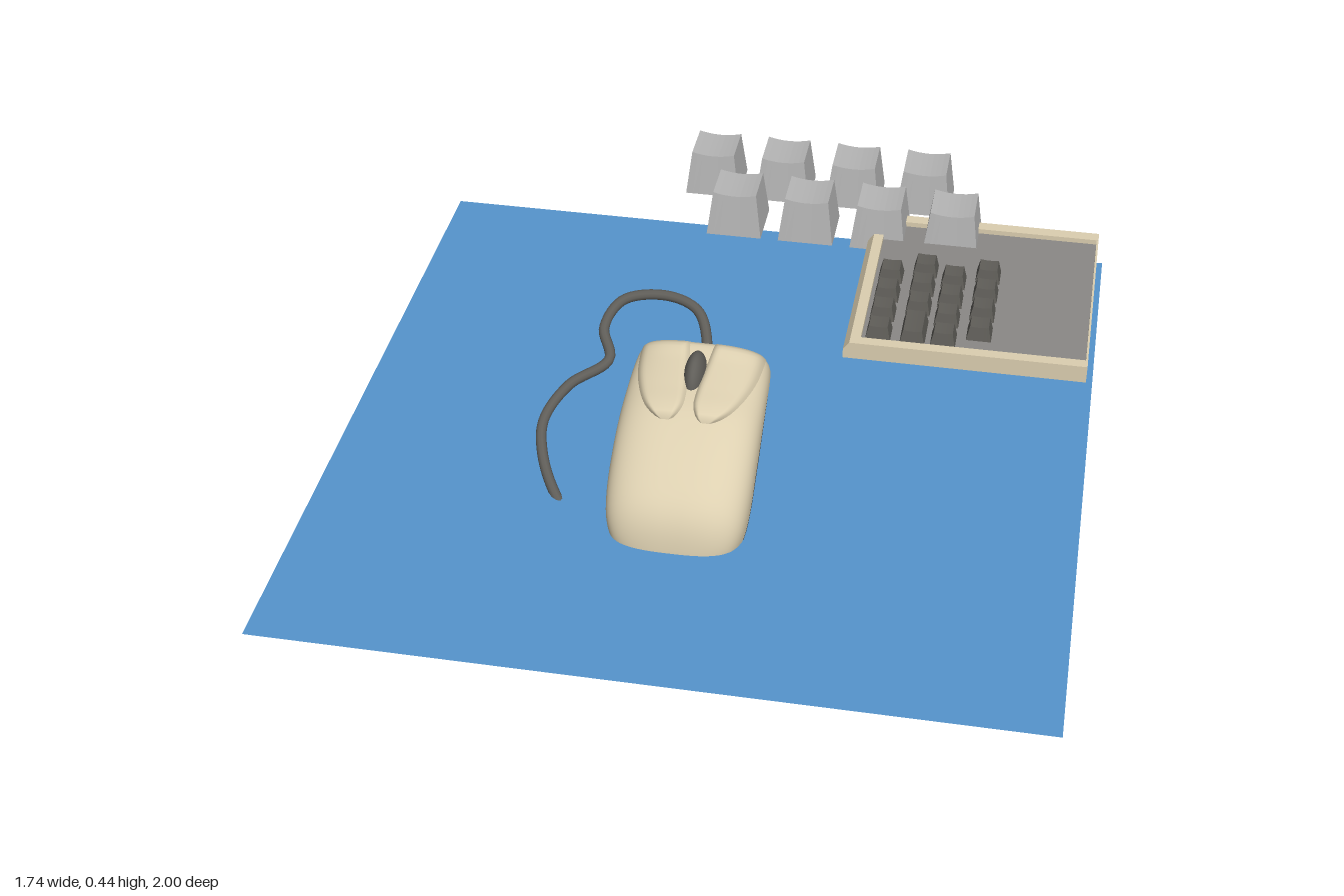
import * as THREE from 'three';

const mat = (name, color, side = THREE.FrontSide) => {
  const m = new THREE.MeshStandardMaterial({ color, side });
  m.name = name;
  return m;
};

// Smooth height lookup through [s, value] pairs
function ease(pts) {
  const slope = i => {
    const a = pts[Math.max(i - 1, 0)], b = pts[Math.min(i + 1, pts.length - 1)];
    return (b[1] - a[1]) / (b[0] - a[0]);
  };
  return s => {
    let i = 0;
    while (i < pts.length - 2 && s > pts[i + 1][0]) i++;
    const [s0, a] = pts[i], [s1, b] = pts[i + 1];
    const d = s1 - s0, t = Math.min(Math.max((s - s0) / d, 0), 1), t2 = t * t, t3 = t2 * t;
    return (2 * t3 - 3 * t2 + 1) * a + (t3 - 2 * t2 + t) * d * slope(i)
      + (3 * t2 - 2 * t3) * b + (t3 - t2) * d * slope(i + 1);
  };
}

// Surface from f(u, v) -> [x, y, z]
function grid(nu, nv, f) {
  const pos = [], idx = [];
  for (let j = 0; j <= nv; j++) for (let i = 0; i <= nu; i++) pos.push(...f(i / nu, j / nv));
  for (let j = 0; j < nv; j++) for (let i = 0; i < nu; i++) {
    const a = j * (nu + 1) + i, b = a + 1, c = a + nu + 1, d = c + 1;
    idx.push(a, b, d, a, d, c);
  }
  const g = new THREE.BufferGeometry();
  g.setAttribute('position', new THREE.Float32BufferAttribute(pos, 3));
  g.setIndex(idx);
  g.computeVertexNormals();
  return g;
}

// Tapered key with a dished top, standing on y = 0
function keyGeometry(w, h, d, topW, topD, dish) {
  const g = new THREE.BoxGeometry(w, h, d, 8, 1, 1);
  const p = g.attributes.position;
  for (let i = 0; i < p.count; i++) {
    const x = p.getX(i), z = p.getZ(i);
    if (p.getY(i) > 0) {
      const k = 2 * x / w;
      p.setXYZ(i, x * topW / w, h - dish * (1 - k * k), z * topD / d);
    } else p.setY(i, 0);
  }
  const flat = g.toNonIndexed();
  flat.computeVertexNormals();
  return flat;
}

export function createModel() {
  const root = new THREE.Group();
  const blue = mat('mat blue', 0x5594cc, THREE.DoubleSide);
  const cream = mat('cream plastic', 0xdccfb0);
  const dark = mat('dark grey', 0x5f5d58);
  const panelGrey = mat('panel grey', 0x8a8886);
  const capGrey = mat('keycap grey', 0xb4b4b4);

  const add = (parent, name, geo, material, x = 0, y = 0, z = 0) => {
    const m = new THREE.Mesh(geo, material);
    m.name = name;
    m.position.set(x, y, z);
    parent.add(m);
    return m;
  };
  const group = (name, parent = root) => {
    const g = new THREE.Group();
    g.name = name;
    parent.add(g);
    return g;
  };

  // Flat sheet under everything
  add(root, 'deskMat', new THREE.PlaneGeometry(1.742, 1.75).rotateX(-Math.PI / 2), blue, 0, 0.15, 0.125);

  // Tilted mouse: local -z runs from palm end to button end, y is its own up
  const mouse = group('mouse');
  mouse.position.set(-0.025, 0.075, 0.57);
  mouse.rotation.x = 0.529;
  const L = 0.535;
  const halfW = ease([[0, 0.07], [0.015, 0.1], [0.05, 0.138], [0.11, 0.16], [0.25, 0.165],
    [0.42, 0.161], [0.5, 0.156], [0.525, 0.148], [L, 0.135]]);
  const height = ease([[0, 0.025], [0.02, 0.066], [0.064, 0.119], [0.111, 0.148], [0.174, 0.16],
    [0.257, 0.164], [0.338, 0.158], [0.4, 0.138], [0.476, 0.113], [0.525, 0.1], [L, 0.085]]);
  const band = s => Math.min(0.07 * Math.pow(Math.max(Math.sin(Math.PI * s / L), 0), 0.8), height(s) * 0.6);
  const E = 2.8;
  const top = (s, x) => {
    const k = Math.min(Math.abs(x) / halfW(s), 1);
    return band(s) + (height(s) - band(s)) * Math.pow(1 - Math.pow(k, E), 1 / E);
  };
  const along = v => L * (0.5 - 0.5 * Math.cos(Math.PI * v));
  const tuck = 0.9;

  add(mouse, 'mouseShell', grid(40, 40, (u, v) => {
    const s = along(v), a = Math.PI * (1 - u), c = Math.cos(a);
    const x = halfW(s) * Math.sign(c) * Math.pow(Math.abs(c), 2 / E);
    const y = band(s) + (height(s) - band(s)) * Math.pow(Math.abs(Math.sin(a)), 2 / E);
    return [x, y, -s];
  }), cream);
  for (const side of [-1, 1]) {
    add(mouse, side < 0 ? 'rightLowerBand' : 'leftLowerBand', grid(4, 40, (u, v) => {
      const s = along(v), t = side < 0 ? u : 1 - u;
      return [side * halfW(s) * (tuck + (1 - tuck) * Math.sin(t * Math.PI / 2)), band(s) * t, -s];
    }), dark);
  }
  add(mouse, 'mouseBase', grid(2, 40, (u, v) => {
    const s = along(v);
    return [halfW(s) * tuck * (1 - 2 * u), 0, -s];
  }), cream);
  // End walls of the shell
  for (const [name, s, dir] of [['palmEnd', 0, 1], ['buttonEnd', L, -1]]) {
    add(mouse, name, grid(24, 2, (u, v) => {
      const x = -dir * halfW(s) * Math.cos(Math.PI * u);
      return [x, top(s, x) * v, -s];
    }), cream);
  }

  // Two raised petal buttons
  const outer = ease([[0.305, 0.05], [0.32, 0.078], [0.35, 0.105], [0.4, 0.128], [0.453, 0.142], [0.537, 0.15]]);
  const inner = ease([[0.305, 0.04], [0.32, 0.022], [0.36, 0.009], [0.45, 0.016], [0.537, 0.028]]);
  for (const side of [-1, 1]) {
    add(mouse, side < 0 ? 'rightButton' : 'leftButton', grid(20, 24, (u, v) => {
      const s = 0.305 + 0.232 * v, t = side < 0 ? 1 - u : u;
      const x = Math.min(inner(s) + (outer(s) - inner(s)) * t, halfW(s) * 0.985);
      const edge = Math.min(1, 8 * Math.min(u, 1 - u), 12 * Math.min(v, 1 - v));
      return [side * x, top(s, x) - 0.004 + 0.018 * Math.sqrt(edge), -s];
    }), cream);
  }
  const wheel = add(mouse, 'scrollWheel', new THREE.SphereGeometry(1, 24, 16), dark, -0.003, 0.1, -0.44);
  wheel.scale.set(0.027, 0.062, 0.064);

  // Cable lying in the tilted base plane, as [x, z]
  const path = [[-0.03, 0.14], [-0.035, 0.06], [-0.07, -0.005], [-0.15, -0.03], [-0.25, -0.01],
    [-0.283, 0.055], [-0.257, 0.125], [-0.34, 0.19], [-0.383, 0.27], [-0.372, 0.34], [-0.32, 0.43],
    [-0.22, 0.525], [-0.1, 0.595], [0, 0.635], [0.1, 0.657], [0.16, 0.64], [0.175, 0.59], [0.145, 0.51]]
    .map(([x, z]) => new THREE.Vector3(x, 0.0135 + 0.58 * (0.66 - z), z));
  add(root, 'cable', new THREE.TubeGeometry(new THREE.CatmullRomCurve3(path), 140, 0.0125, 10), dark);
  for (const p of [path[0], path[path.length - 1]])
    add(root, 'cableEnd', new THREE.SphereGeometry(0.0125, 10, 8), dark, p.x, p.y, p.z);

  // Corner tray with rims on three sides and a thin lip on the fourth
  const tray = group('keyboardTray');
  const box = (name, m, x0, x1, y0, y1, z0, z1) => add(tray, name,
    new THREE.BoxGeometry(x1 - x0, y1 - y0, z1 - z0), m, (x0 + x1) / 2, (y0 + y1) / 2, (z0 + z1) / 2);
  box('trayFloor', cream, 0.29, 0.85, 0.18, 0.208, -0.745, -0.2);
  box('trayPanel', panelGrey, 0.3, 0.851, 0.208, 0.213, -0.742, -0.2);
  box('frontRim', cream, 0.28, 0.855, 0.18, 0.226, -0.203, -0.175);
  box('backRim', cream, 0.28, 0.855, 0.18, 0.226, -0.772, -0.74);
  box('sideLip', cream, 0.85, 0.855, 0.18, 0.224, -0.74, -0.203);
  const rim = new THREE.Shape([[0.26, 0.18], [0.3, 0.18], [0.3, 0.226], [0.275, 0.226], [0.26, 0.205]]
    .map(p => new THREE.Vector2(...p)));
  add(tray, 'slopedRim', new THREE.ExtrudeGeometry(rim, { depth: 0.597, bevelEnabled: false }), cream, 0, 0, -0.772);

  // Small dark keys, alternate columns staggered
  const keys = group('smallKeys');
  const small = keyGeometry(0.062, 0.038, 0.062, 0.046, 0.046, 0.002);
  const tall = keyGeometry(0.062, 0.038, 0.108, 0.046, 0.092, 0.002);
  [[0.34, -0.5], [0.425, -0.54], [0.5, -0.5], [0.585, -0.54]].forEach(([x, z], c) => {
    for (let r = 0; r < 4; r++) {
      const long = c === 1 && r === 3;
      add(keys, long ? 'tallKey' : 'smallKey', long ? tall : small, dark, x, 0.212, z + r * 0.085 + (long ? 0.022 : 0));
    }
  });

  // Two staggered rows of large keycaps
  const caps = group('largeKeycaps');
  const cap = keyGeometry(0.145, 0.122, 0.145, 0.114, 0.116, 0.008);
  for (const [x0, z] of [[-0.19, -0.926], [-0.098, -0.736]])
    for (let i = 0; i < 4; i++) add(caps, 'largeKeycap', cap, capGrey, x0 + i * 0.191, 0.18, z);

  return root;
}
